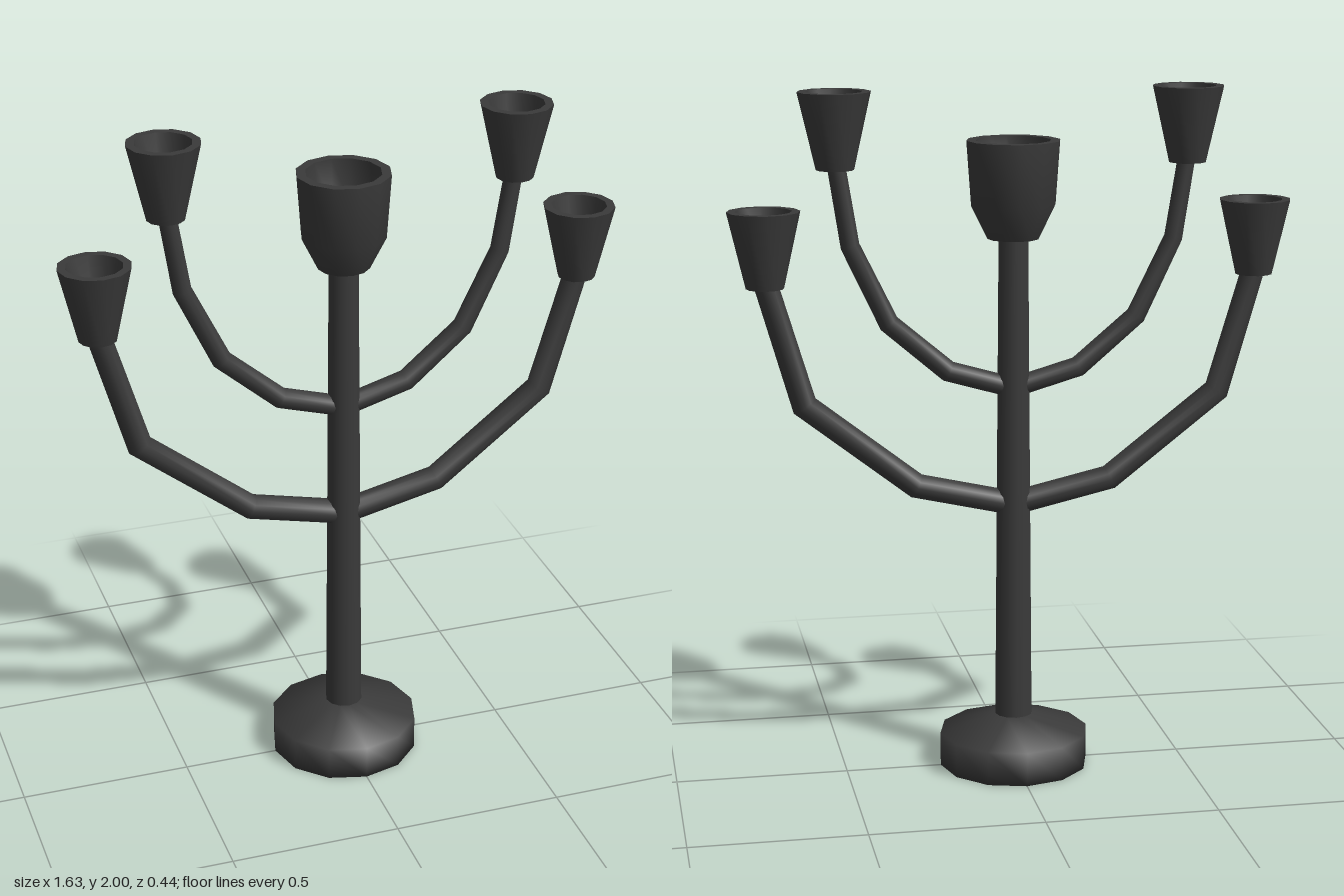
import * as THREE from 'three';
import { toCreasedNormals } from 'three/addons/utils/BufferGeometryUtils.js';

const SIDES = 12;

// Revolve a list of [radius, y] points
function lathe(profile) {
  return new THREE.LatheGeometry(profile.map(([r, y]) => new THREE.Vector2(r, y)), SIDES);
}

// Mitred round bar through [x, y] points lying in the z = 0 plane
function bentBar(points, radii) {
  const pts = points.map(([x, y]) => new THREE.Vector2(x, y));
  const pos = [], index = [];
  pts.forEach((p, i) => {
    const a = p.clone().sub(pts[Math.max(i - 1, 0)]).normalize();
    const b = pts[Math.min(i + 1, pts.length - 1)].clone().sub(p).normalize();
    const t = a.clone().add(b).normalize();
    const miter = 1 / t.dot(i ? a : b);
    for (let j = 0; j < SIDES; j++) {
      const ang = (j / SIDES) * Math.PI * 2;
      const n = Math.cos(ang) * radii[i] * miter;
      pos.push(p.x - t.y * n, p.y + t.x * n, Math.sin(ang) * radii[i]);
      if (i === 0) continue;
      const k = (j + 1) % SIDES, lo = (i - 1) * SIDES, hi = i * SIDES;
      index.push(lo + j, hi + k, lo + k, lo + j, hi + j, hi + k);
    }
  });
  // flip the winding if the faces point inward
  const geo = new THREE.BufferGeometry();
  geo.setAttribute('position', new THREE.Float32BufferAttribute(pos, 3));
  const v = (i) => new THREE.Vector3().fromArray(pos, i * 3);
  const [a, b, c] = index.slice(0, 3).map(v);
  const normal = b.sub(a).cross(c.sub(a));
  const outward = a.sub(new THREE.Vector3(pts[0].x, pts[0].y, 0));
  if (normal.dot(outward) < 0) index.reverse();
  geo.setIndex(index);
  geo.computeVertexNormals();
  return geo;
}

export function createModel() {
  const iron = new THREE.MeshStandardMaterial({ color: 0x3a3a3a });
  iron.name = 'dark iron';
  const group = new THREE.Group();
  const add = (name, geo, x = 0, y = 0) => {
    const mesh = new THREE.Mesh(geo, iron);
    mesh.name = name;
    mesh.position.set(x, y, 0);
    group.add(mesh);
  };

  // Foot and central stem
  add('base', lathe([[0, 0], [0.22, 0], [0.22, 0.1], [0.055, 0.152], [0, 0.152]]));
  add('stem', new THREE.CylinderGeometry(0.043, 0.055, 1.46, SIDES), 0, 0.86);

  // Large hollow cup on the stem
  add('centreCup', toCreasedNormals(lathe([
    [0, 1.575], [0.075, 1.575], [0.122, 1.67], [0.135, 1.855],
    [0.108, 1.855], [0.098, 1.72], [0.06, 1.66], [0, 1.66],
  ]), 0.7));

  // Small hollow cup, shared by all four arms
  const cup = toCreasedNormals(lathe([
    [0, 0], [0.054, 0], [0.104, 0.218], [0.08, 0.218], [0.052, 0.09], [0, 0.09],
  ]), 0.7);

  // Two pairs of arms, mirrored left and right
  const arms = [
    {
      name: 'lower', cup: [0.71, 1.452], radii: [0.036, 0.036, 0.036, 0.034],
      path: [[0, 0.795], [0.285, 0.86], [0.605, 1.11], [0.71, 1.47]],
    },
    {
      name: 'upper', cup: [0.507, 1.782], radii: [0.03, 0.03, 0.029, 0.027, 0.026],
      path: [[0, 1.14], [0.19, 1.195], [0.36, 1.34], [0.468, 1.565], [0.505, 1.8]],
    },
  ];
  for (const arm of arms) {
    for (const [side, s] of [['Left', 1], ['Right', -1]]) {
      add(arm.name + side + 'Arm', bentBar(arm.path.map(([x, y]) => [x * s, y]), arm.radii));
      add(arm.name + side + 'Cup', cup, arm.cup[0] * s, arm.cup[1]);
    }
  }
  return group;
}
